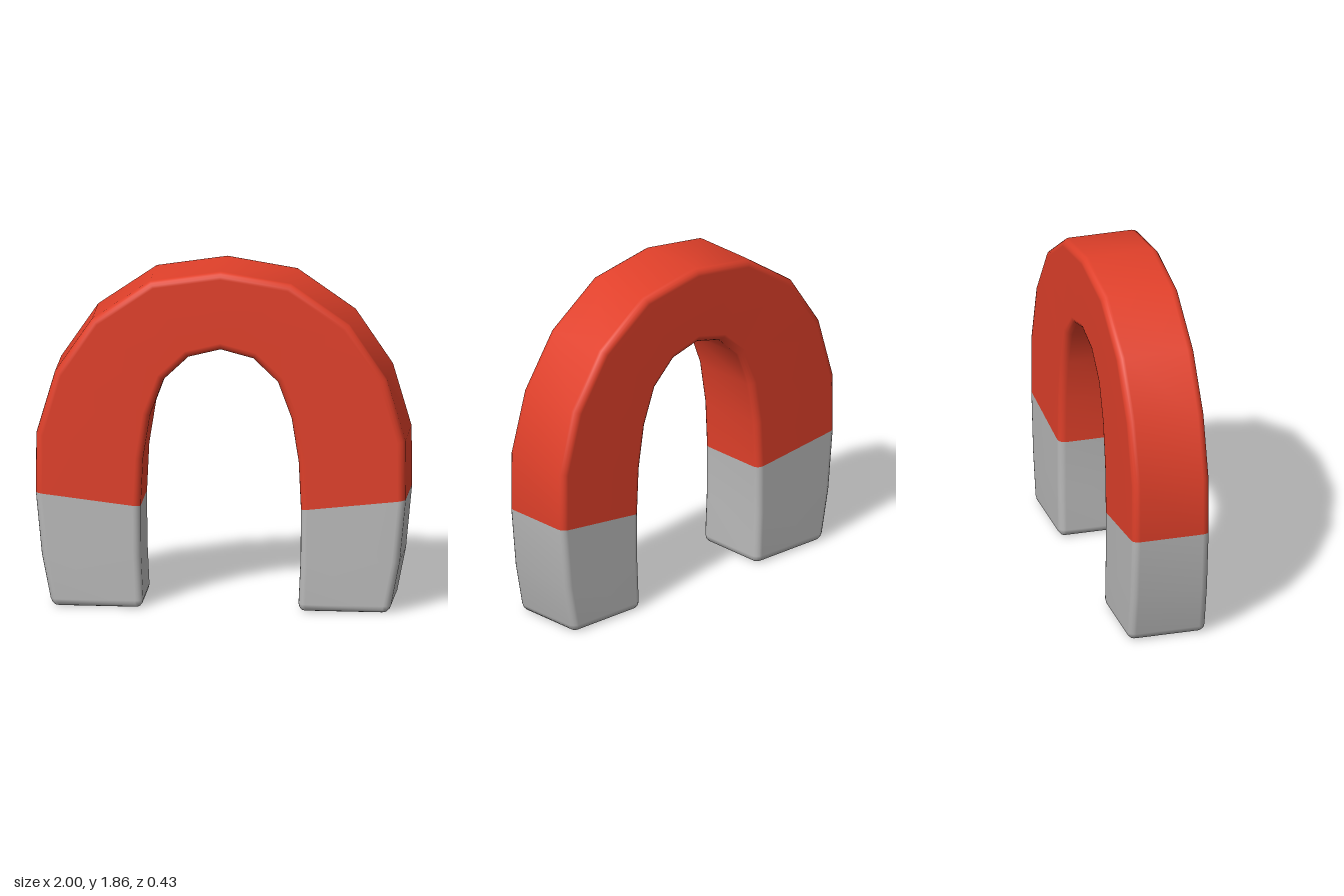
import * as THREE from 'three';

const DEPTH = 0.215;  // half thickness in z
const ROUND = 0.04;   // edge rounding
const ARC = 4;        // segments per rounded corner

// One leg from foot to crown: [outer x, outer y, inner x, inner y, inset]
function legStations() {
  const foot = [];
  for (let k = 0; k <= 3; k++) {
    const a = (k / 3) * Math.PI / 2;
    const y = ROUND * (1 - Math.sin(a));
    foot.unshift([0.91 + y * 0.2, y, 0.419, y, (ROUND - 0.006) * (1 - Math.cos(a))]);
  }
  return [
    ...foot,
    [0.965, 0.28, 0.43, 0.28, 0],
    [0.998, 0.625, 0.432, 0.56, 0],
    [0.995, 0.95, 0.42, 0.82, 0],
    [0.895, 1.29, 0.382, 1.06, 0],
    [0.695, 1.585, 0.308, 1.26, 0],
    [0.38, 1.803, 0.175, 1.387, 0],
  ];
}

// Rounded rectangle running across the bar (outer to inner) and along z
function section([ox, oy, ix, iy, inset]) {
  const outer = new THREE.Vector2(ox, oy);
  const inner = new THREE.Vector2(ix, iy);
  const mid = outer.clone().add(inner).multiplyScalar(0.5);
  const dir = outer.clone().sub(inner);
  const w = dir.length() / 2 - inset;
  const d = DEPTH - inset;
  const r = ROUND - inset;
  dir.normalize();
  const ring = [];
  [[1, 1], [-1, 1], [-1, -1], [1, -1]].forEach(([su, sz], q) => {
    for (let k = 0; k <= ARC; k++) {
      const a = (q + k / ARC) * Math.PI / 2;
      const u = su * (w - r) + r * Math.cos(a);
      const z = sz * (d - r) + r * Math.sin(a);
      ring.push(mid.x + dir.x * u, mid.y + dir.y * u, z);
    }
  });
  return ring;
}

export function createModel() {
  const group = new THREE.Group();
  const red = new THREE.MeshStandardMaterial({ color: 0xe0402a });
  const steel = new THREE.MeshStandardMaterial({ color: 0xb8b8b8 });
  red.name = 'red paint';
  steel.name = 'bare steel';

  // Full path: right foot, over the crown, down to the mirrored foot
  const leg = legStations();
  const mirrored = leg.map(([ox, oy, ix, iy, n]) => [-ox, oy, -ix, iy, n]).reverse();
  const stations = [...leg, [0, 1.863, 0, 1.432, 0], ...mirrored];
  const positions = stations.flatMap(section);
  const N = 4 * (ARC + 1);
  const last = stations.length - 1;
  const split = 5; // station where the paint begins

  const skin = (from, to) => {
    const index = [];
    for (let i = from; i < to; i++) {
      for (let j = 0; j < N; j++) {
        const k = (j + 1) % N;
        const a = i * N + j, b = i * N + k, c = b + N, d = a + N;
        index.push(a, d, c, a, c, b);
      }
    }
    return index;
  };
  // Flat sole of a foot
  const sole = (i, flip) => {
    const [ox, oy, ix] = stations[i];
    const centre = positions.length / 3;
    positions.push((ox + ix) / 2, oy, 0);
    const index = [];
    for (let j = 0; j < N; j++) {
      const a = i * N + j, b = i * N + (j + 1) % N;
      index.push(centre, flip ? b : a, flip ? a : b);
    }
    return index;
  };

  const leftTip = [...skin(0, split), ...sole(0, false)];
  const arch = skin(split, last - split);
  const rightTip = [...skin(last - split, last), ...sole(last, true)];

  // Shared normals keep the shading continuous across the colour change
  const whole = new THREE.BufferGeometry();
  whole.setAttribute('position', new THREE.Float32BufferAttribute(positions, 3));
  whole.setIndex([...leftTip, ...arch, ...rightTip]);
  whole.computeVertexNormals();

  const add = (name, index, material) => {
    const geometry = new THREE.BufferGeometry();
    geometry.setAttribute('position', whole.getAttribute('position'));
    geometry.setAttribute('normal', whole.getAttribute('normal'));
    geometry.setIndex(index);
    const mesh = new THREE.Mesh(geometry, material);
    mesh.name = name;
    group.add(mesh);
  };
  add('arch', arch, red);
  add('leftTip', leftTip, steel);
  add('rightTip', rightTip, steel);
  group.name = 'horseshoeMagnet';
  return group;
}
